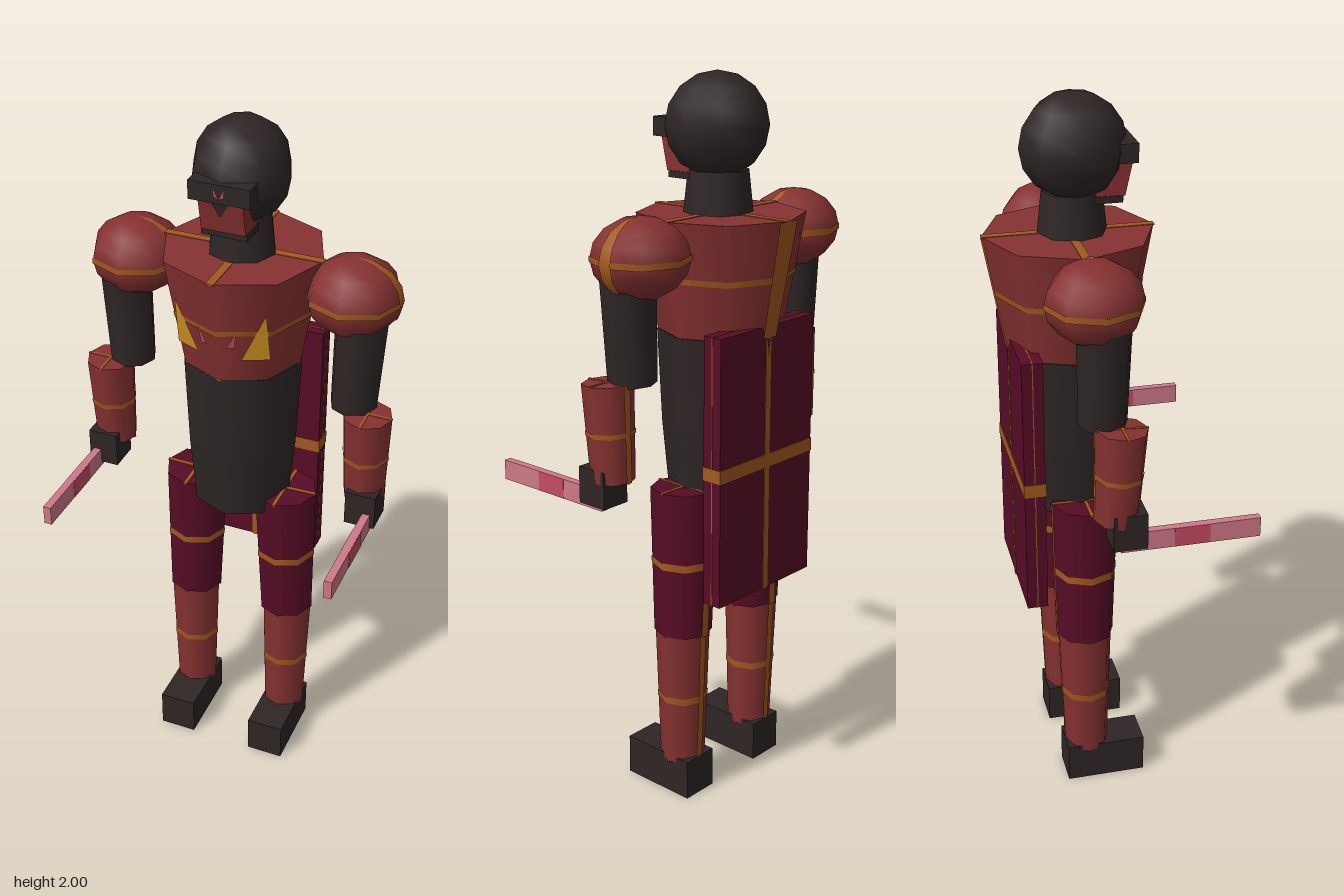
import * as THREE from 'three';

export function createModel() {
  const root = new THREE.Group();
  root.name = 'robotWarrior';
  const paint = (name, color) => {
    const m = new THREE.MeshStandardMaterial({ color });
    m.name = name;
    return m;
  };
  const black = paint('charcoal', 0x2e2625);
  const red = paint('brickRed', 0x863131);
  const maroon = paint('maroon', 0x570c26);
  const orange = paint('burntOrange', 0xa3591f);
  const gold = paint('gold', 0xd0921f);
  const pink = paint('palePink', 0xcf7888);
  const rose = paint('rose', 0xc64c64);

  const add = (name, geo, mat, x = 0, y = 0, z = 0, parent = root) => {
    const m = new THREE.Mesh(geo, mat);
    m.name = name;
    m.position.set(x, y, z);
    parent.add(m);
    return m;
  };
  const box = (name, w, h, d, mat, x, y, z, parent) =>
    add(name, new THREE.BoxGeometry(w, h, d), mat, x, y, z, parent);

  // Eight-sided tapered segment between two points, optionally trimmed with crossed bands
  function segment(name, top, bottom, rt, rb, mat, trim = false, sx = 1) {
    const g = new THREE.Group();
    g.name = name;
    const a = new THREE.Vector3(...top), b = new THREE.Vector3(...bottom);
    const axis = a.clone().sub(b), h = axis.length();
    g.position.copy(a).add(b).multiplyScalar(0.5);
    g.quaternion.setFromUnitVectors(new THREE.Vector3(0, 1, 0), axis.normalize());
    g.scale.x = sx;
    add(name + 'Body', new THREE.CylinderGeometry(rt, rb, h, 8), mat, 0, 0, 0, g);
    if (trim) {
      const mid = (rt + rb) / 2, e = 0.002, k = 0.025 * (rt - rb);
      add(name + 'Band', new THREE.CylinderGeometry(mid + k + e, mid - k + e, h * 0.05, 8, 1, true),
        orange, 0, 0, 0, g);
      add(name + 'BackStripe', new THREE.CylinderGeometry(rt + e, rb + e, h, 2, 1, true,
        Math.PI * 0.95, Math.PI * 0.1), orange, 0, 0, 0, g);
      for (const [r, y] of [[rt, h / 2], [rb, -h / 2]]) {
        box(name + 'CapStripe', r * 2, 0.004, r * 0.1, orange, 0, y, 0, g);
        box(name + 'CapStripe', r * 0.1, 0.004, r * 2, orange, 0, y, 0, g);
      }
    }
    root.add(g);
    return g;
  }

  // Single painted triangle, corners counter-clockwise seen from the front
  function triangle(name, pts, mat) {
    const geo = new THREE.BufferGeometry();
    geo.setAttribute('position', new THREE.Float32BufferAttribute(pts.flat(), 3));
    geo.computeVertexNormals();
    add(name, geo, mat);
  }

  // Torso
  const Z = -0.095;
  segment('chest', [0, 1.64, Z], [0, 1.33, Z], 0.227, 0.17, red, true, 0.97);
  segment('abdomen', [0, 1.33, Z], [0, 1.07, Z], 0.17, 0.158, black);
  segment('pelvis', [0, 1.07, Z], [0, 0.87, Z], 0.158, 0.14, black);
  segment('neck', [0, 1.75, -0.085], [0, 1.64, -0.085], 0.08, 0.092, black);

  // Fang markings lying on the front chest facets
  const onChest = (s, x, y) =>
    [s * x, y, Z + 0.17 + (y - 1.33) * 0.184 - x * 0.427 + 0.004];
  for (const s of [-1, 1]) {
    const order = (p) => (s > 0 ? p : [p[0], p[2], p[1]]);
    triangle('chestFang', order([[0.127, 1.545], [0.06, 1.4], [0.13, 1.4]])
      .map(([x, y]) => onChest(s, x, y)), gold);
    triangle('chestTooth', order([[0.053, 1.49], [0.027, 1.44], [0.047, 1.44]])
      .map(([x, y]) => onChest(s, x, y)), rose);
    triangle('visorMark', order([[0.014, 1.868], [0.003, 1.845], [0.012, 1.849]])
      .map(([x, y]) => [s * x, y, 0.072]), rose);
  }

  // Head
  const head = add('head', new THREE.SphereGeometry(1, 8, 8), black, 0, 1.862, -0.08);
  head.scale.set(0.132, 0.138, 0.14);
  box('visor', 0.165, 0.05, 0.09, black, 0, 1.855, 0.025);
  const faceGeo = new THREE.BoxGeometry(0.12, 0.09, 0.1);
  const fp = faceGeo.attributes.position;
  for (let i = 0; i < fp.count; i++) {
    if (fp.getY(i) < 0 && fp.getZ(i) > 0) fp.setZ(i, 0.03);
  }
  faceGeo.computeVertexNormals();
  add('face', faceGeo, red, 0, 1.786, 0.011);
  box('chin', 0.125, 0.018, 0.08, black, 0, 1.733, -0.005);
  triangle('nose', [[-0.025, 1.832, 0.066], [0, 1.79, 0.06], [0.025, 1.832, 0.066]], black);

  for (const s of [-1, 1]) {
    // Shoulder with equator band and a pole-to-pole stripe
    const shoulder = new THREE.Group();
    shoulder.name = 'shoulder';
    shoulder.position.set(s * 0.305, 1.562, Z);
    shoulder.scale.set(0.128, 0.107, 0.127);
    root.add(shoulder);
    add('shoulderBall', new THREE.SphereGeometry(1, 8, 8), red, 0, 0, 0, shoulder);
    add('shoulderBand', new THREE.CylinderGeometry(1.008, 1.008, 0.16, 8, 1, true), orange, 0, 0, 0, shoulder);
    add('shoulderStripe', new THREE.SphereGeometry(1.01, 2, 8, Math.PI * 0.95, Math.PI * 0.1),
      orange, 0, 0, 0, shoulder);

    // Arm
    segment('upperArm', [s * 0.335, 1.53, -0.078], [s * 0.324, 1.243, -0.08], 0.072, 0.064, black);
    segment('forearm', [s * 0.376, 1.247, -0.042], [s * 0.375, 0.987, -0.055], 0.068, 0.058, red, true);
    box('hand', 0.085, 0.1, 0.09, black, s * 0.387, 0.972, -0.03);

    // Blade with a darker patch on both flat sides
    box('blade', 0.022, 0.055, 0.375, pink, s * 0.406, 0.937, 0.134);
    box('bladePatch', 0.024, 0.054, 0.095, rose, s * 0.406, 0.937, 0.137);

    // Leg
    segment('thigh', [s * 0.135, 0.91, -0.085], [s * 0.146, 0.493, -0.09], 0.092, 0.08, maroon, true);
    segment('shin', [s * 0.148, 0.495, -0.09], [s * 0.147, 0.1, -0.088], 0.075, 0.062, red, true);
    box('foot', 0.108, 0.115, 0.226, black, s * 0.146, 0.0575, -0.04);
  }

  // Back panel with crossed bands wrapping all its faces
  const W = 0.38, H = 0.74, D = 0.057, e = 0.004;
  const panel = new THREE.Group();
  panel.name = 'backPanel';
  panel.position.set(0, 0.99, -0.232);
  root.add(panel);
  box('panelBody', W, H, D, maroon, 0, 0, 0, panel);
  box('panelBandAcross', W + e, H * 0.05, D + e, orange, 0, 0, 0, panel);
  box('panelBandDown', W * 0.05, H + e, D + e, orange, 0, 0, 0, panel);
  box('panelEdgeLine', W + e / 2, H + e / 2, D * 0.05, orange, 0, 0, 0, panel);

  return root;
}
